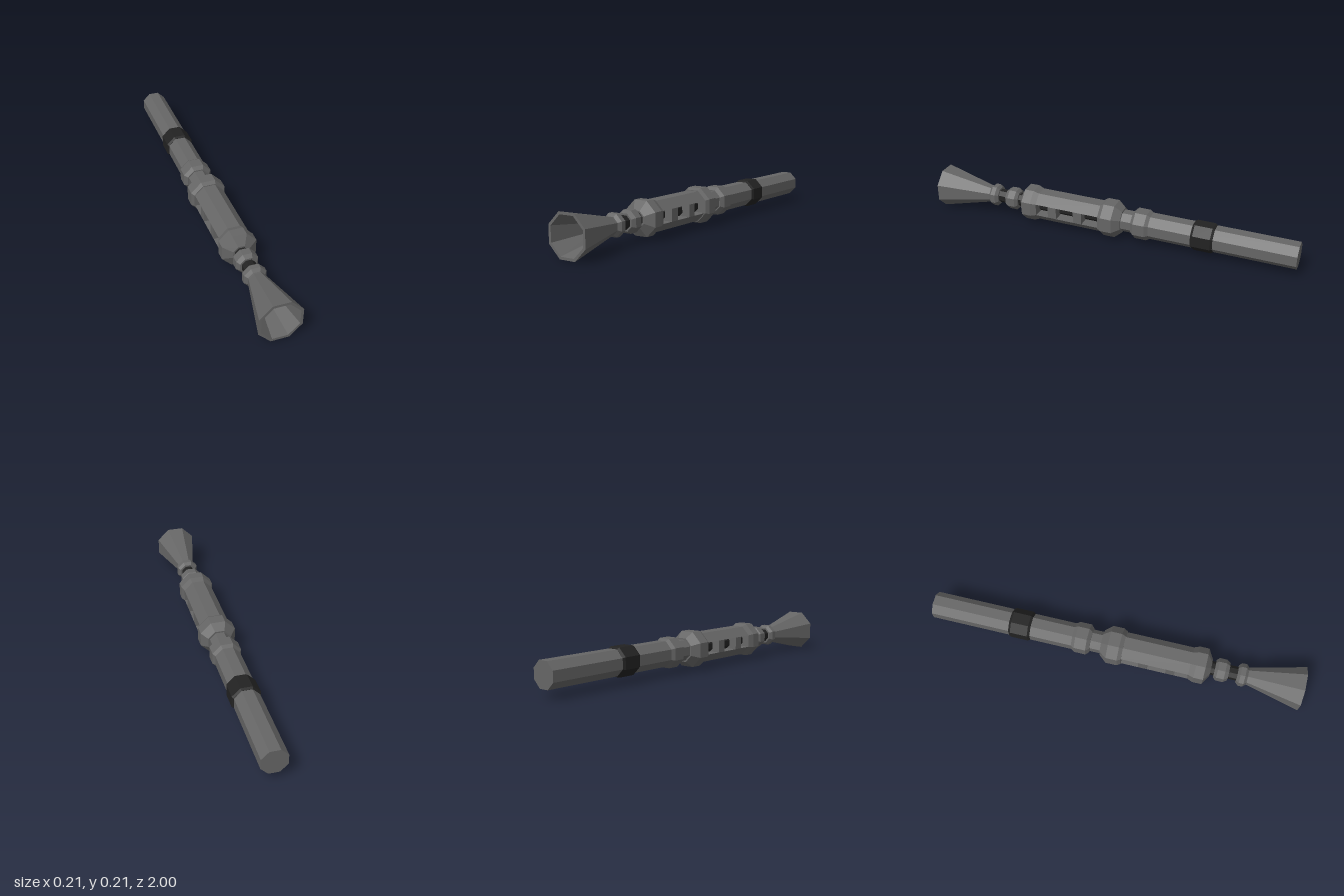
import * as THREE from 'three';

const SIDES = 8;
const FLAT = Math.cos(Math.PI / SIDES); // flat-to-corner ratio
const AXIS_Y = 0.107;

const steel = new THREE.MeshStandardMaterial({ color: 0x666666 });
steel.name = 'steel grey';
const black = new THREE.MeshStandardMaterial({ color: 0x222222 });
black.name = 'dark grey';

// Faceted octagonal turning along z; profile is [z, half width across flats]
function turned(name, material, profile) {
  const points = profile.map(([z, r]) => new THREE.Vector2(r / FLAT, z));
  const geometry = new THREE.LatheGeometry(points, SIDES, Math.PI / SIDES)
    .rotateX(Math.PI / 2).toNonIndexed();
  geometry.computeVertexNormals();
  const mesh = new THREE.Mesh(geometry, material);
  mesh.name = name;
  return mesh;
}

export function createModel() {
  const group = new THREE.Group();
  group.name = 'octagonalTube';
  const add = (...parts) => group.add(...parts);

  // Flared bell, hollow at the front with a small bore in its floor
  add(turned('bell', steel, [
    [0.69, 0], [0.69, 0.04], [0.72, 0.044], [1, 0.107], [1, 0.094],
    [0.76, 0.0455], [0.76, 0.02], [0.72, 0.02], [0.72, 0],
  ]));

  // Inner rod running from the bell into the body
  add(turned('innerRod', black, [[0, 0], [0, 0.034], [0.69, 0.034], [0.69, 0]]));

  // Two small collars on the rod
  add(turned('bellCollar', steel, [
    [0.655, 0], [0.655, 0.043], [0.67, 0.056], [0.695, 0.056], [0.71, 0.042], [0.71, 0],
  ]));
  add(turned('rodCollar', steel, [
    [0.535, 0], [0.535, 0.043], [0.55, 0.056], [0.59, 0.056], [0.61, 0.043], [0.61, 0],
  ]));

  // Large collar at the front of the body
  add(turned('frontCollar', steel, [
    [0.405, 0], [0.405, 0.078], [0.435, 0.089], [0.485, 0.089], [0.515, 0.042], [0.515, 0],
  ]));

  // Body: upper and lower halves with an open slot along both sides
  const w = 0.078, s = w * Math.tan(Math.PI / SIDES);
  const half = new THREE.Shape([
    new THREE.Vector2(-w, s), new THREE.Vector2(w, s),
    new THREE.Vector2(s, w), new THREE.Vector2(-s, w),
  ]);
  for (const [name, turn] of [['bodyTop', 0], ['bodyBottom', Math.PI]]) {
    const geometry = new THREE.ExtrudeGeometry(half, { depth: 0.43, bevelEnabled: false });
    const mesh = new THREE.Mesh(geometry, steel);
    mesh.name = name;
    mesh.rotation.z = turn;
    add(mesh);
  }

  // Ribs bridging the slots
  for (const z of [0.31, 0.162]) {
    const rib = new THREE.Mesh(new THREE.BoxGeometry(2 * w, 2 * s, 0.048), steel);
    rib.name = 'slotRib';
    rib.position.z = z;
    add(rib);
  }

  // Collars behind the body, with the neck between them
  add(turned('middleCollar', steel, [
    [-0.075, 0], [-0.075, 0.062], [-0.035, 0.093], [0.025, 0.093], [0.045, 0.082], [0.045, 0],
  ]));
  add(turned('neck', steel, [[-0.15, 0], [-0.15, 0.054], [-0.06, 0.054], [-0.06, 0]]));
  add(turned('rearCollar', steel, [
    [-0.232, 0], [-0.232, 0.064], [-0.212, 0.076], [-0.15, 0.076], [-0.132, 0.06], [-0.132, 0],
  ]));

  // Long rear tube with its dark band
  add(turned('rearTube', steel, [[-1, 0], [-1, 0.065], [-0.2, 0.065], [-0.2, 0]]));
  add(turned('band', black, [
    [-0.575, 0.06], [-0.575, 0.066], [-0.563, 0.073],
    [-0.47, 0.073], [-0.458, 0.066], [-0.458, 0.06],
  ]));

  for (const part of group.children) part.position.y = AXIS_Y;
  return group;
}
